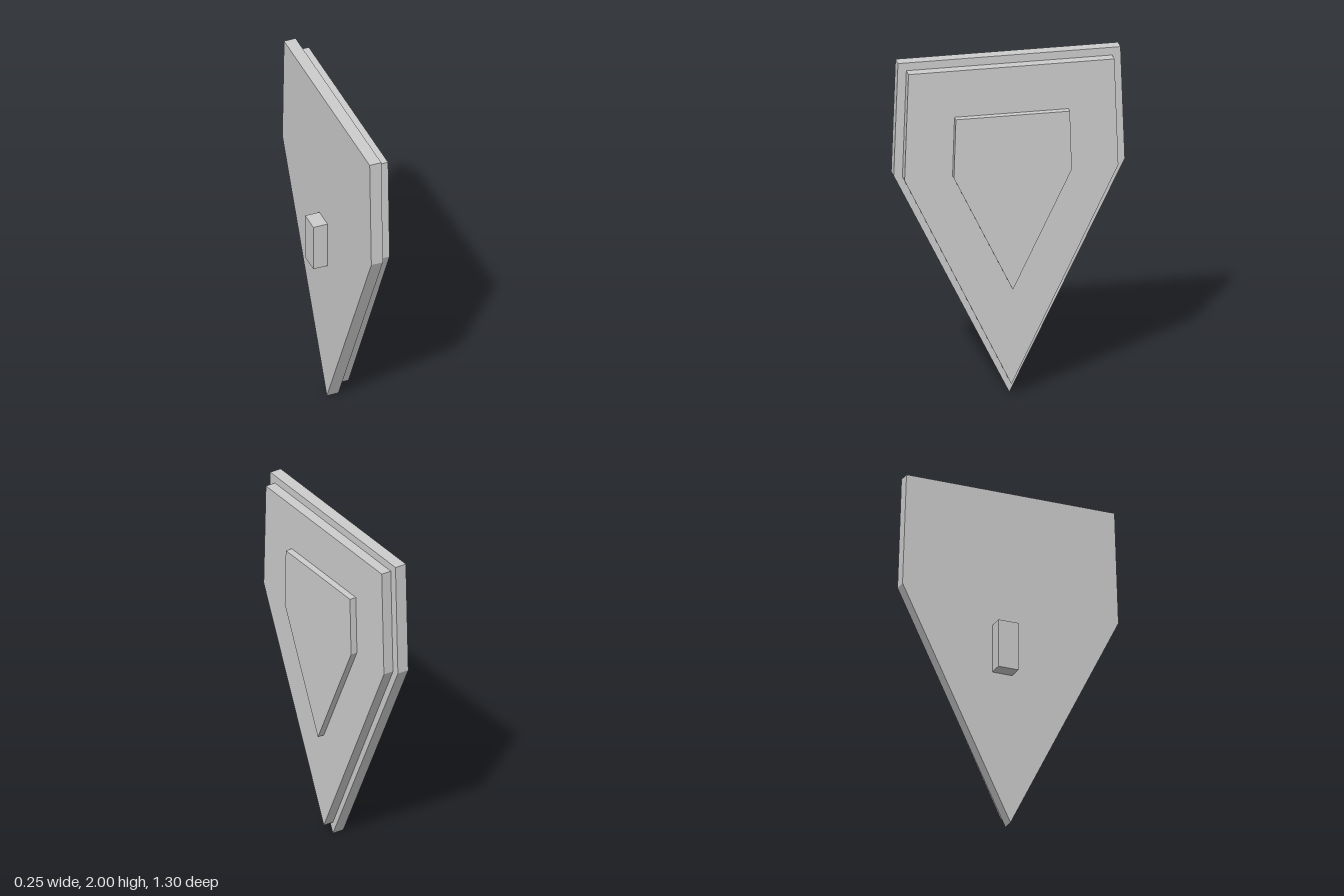
import * as THREE from 'three';

const grey = new THREE.MeshStandardMaterial({ color: 0xcccccc });
grey.name = 'grey';

// Five-sided shield plate lying in the y-z plane, from x0 to x1
function plate(name, x0, x1, top, topHalf, mid, midHalf, tip) {
  const shape = new THREE.Shape([
    new THREE.Vector2(0, tip),
    new THREE.Vector2(midHalf, mid),
    new THREE.Vector2(topHalf, top),
    new THREE.Vector2(-topHalf, top),
    new THREE.Vector2(-midHalf, mid),
  ]);
  const geometry = new THREE.ExtrudeGeometry(shape, { depth: x1 - x0, bevelEnabled: false });
  geometry.rotateY(Math.PI / 2).translate(x0, 0, 0);
  const mesh = new THREE.Mesh(geometry, grey);
  mesh.name = name;
  return mesh;
}

export function createModel() {
  const shield = new THREE.Group();
  shield.name = 'shield';

  // Three stacked plates, each smaller than the one behind it
  shield.add(
    plate('backPlate', -0.042, 0.027, 2, 0.627, 1.335, 0.651, 0),
    plate('middlePlate', 0.027, 0.087, 1.954, 0.58, 1.325, 0.602, 0.07),
    plate('frontPlate', 0.087, 0.126, 1.68, 0.321, 1.333, 0.332, 0.645),
  );

  // Grip block on the inner side
  const grip = new THREE.Mesh(new THREE.BoxGeometry(0.084, 0.285, 0.12), grey);
  grip.name = 'grip';
  grip.position.set(-0.084, 1.038, -0.05);
  shield.add(grip);

  return shield;
}
